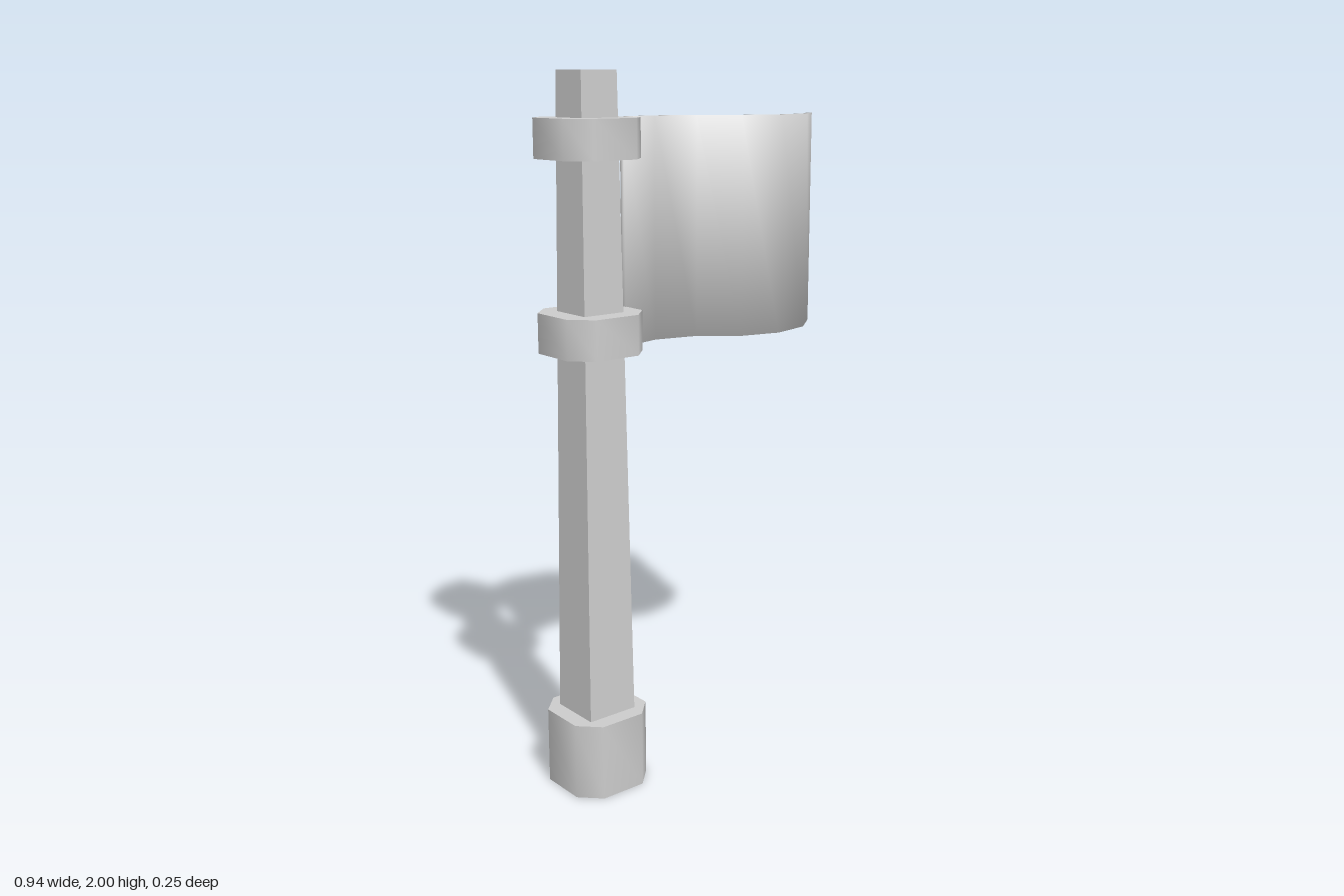
import * as THREE from 'three';
import { toCreasedNormals } from 'three/addons/utils/BufferGeometryUtils.js';

const POLE_X = -0.346;

// Chamfered square block around the pole, softly shaded round its sides
function collarGeometry(y0, y1) {
  const h = 0.124, c = 0.068;
  const corners = [[h, -c], [h, c], [c, h], [-c, h], [-h, c], [-h, -c], [-c, -h], [c, -h]];
  const shape = new THREE.Shape(corners.map(([x, y]) => new THREE.Vector2(x, y)));
  const geo = new THREE.ExtrudeGeometry(shape, { depth: y1 - y0, bevelEnabled: false });
  geo.rotateX(-Math.PI / 2).translate(POLE_X, y0, 0);
  return toCreasedNormals(geo, Math.PI / 3);
}

// Thin waving sheet: a rectangular cross-section swept along a path in x, z
function flagGeometry(path, y0, y1, thickness) {
  const positions = [], normals = [], index = [];
  const last = path.length - 1;
  const v = (i) => new THREE.Vector2(...path[i]);
  path.forEach((p, i) => {
    const tIn = v(Math.max(i, 1)).sub(v(Math.max(i, 1) - 1)).normalize();
    const j = Math.min(i, last - 1);
    const tOut = v(j + 1).sub(v(j)).normalize();
    const t = tIn.clone().add(tOut).normalize();
    const half = thickness / 2 / t.dot(tIn);
    const end = i === 0 ? -0.6 : i === last ? 0.6 : 0;
    // front top, front bottom, back bottom, back top
    for (const [side, up] of [[1, 1], [1, -1], [-1, -1], [-1, 1]]) {
      positions.push(p[0] - t.y * half * side, up > 0 ? y1 : y0, p[1] + t.x * half * side);
      const n = new THREE.Vector3(-t.y * side + t.x * end, up * 0.6, t.x * side + t.y * end);
      normals.push(...n.normalize().toArray());
    }
  });
  const quad = (a, b, c, d) => index.push(a, b, c, a, c, d);
  for (let i = 0; i < last; i++) {
    for (let k = 0; k < 4; k++) {
      const m = (k + 1) % 4;
      quad(i * 4 + k, i * 4 + m, i * 4 + 4 + m, i * 4 + 4 + k);
    }
  }
  quad(0, 3, 2, 1);
  quad(last * 4, last * 4 + 1, last * 4 + 2, last * 4 + 3);
  const geo = new THREE.BufferGeometry();
  geo.setAttribute('position', new THREE.Float32BufferAttribute(positions, 3));
  geo.setAttribute('normal', new THREE.Float32BufferAttribute(normals, 3));
  geo.setIndex(index);
  return geo;
}

export function createModel() {
  const model = new THREE.Group();
  model.name = 'flagPole';
  const smooth = new THREE.MeshStandardMaterial({ color: 0xcccccc });
  const flat = new THREE.MeshStandardMaterial({ color: 0xcccccc, flatShading: true });
  const add = (name, geo, material) => {
    const mesh = new THREE.Mesh(geo, material);
    mesh.name = name;
    model.add(mesh);
  };

  // Square pole, tapering upwards
  const pole = new THREE.CylinderGeometry(0.0565 * Math.SQRT2, 0.079 * Math.SQRT2, 1.98, 4);
  pole.rotateY(Math.PI / 4).translate(POLE_X, 1.01, 0);
  add('pole', pole, flat);

  // Foot and the two bands holding the flag
  add('base', collarGeometry(0, 0.22), smooth);
  add('lowerBand', collarGeometry(1.26, 1.37), smooth);
  add('upperBand', collarGeometry(1.775, 1.88), smooth);

  // Waving flag
  const wave = [[-0.226, -0.01], [-0.1, -0.038], [0.03, -0.008], [0.127, 0.073],
    [0.246, 0.102], [0.369, 0.073], [0.464, -0.006]];
  add('flag', flagGeometry(wave, 1.26, 1.88, 0.014), smooth);

  return model;
}
